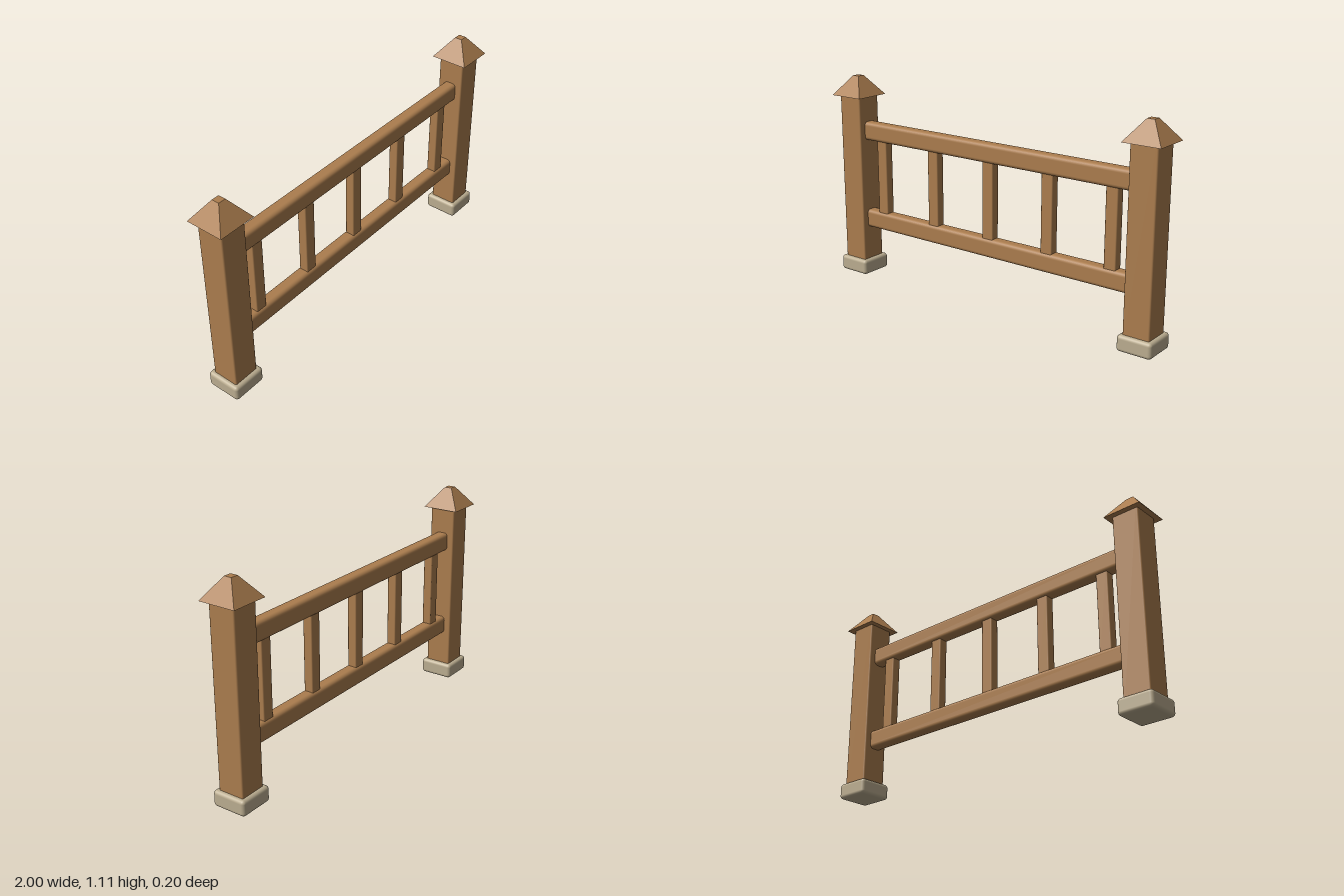
import * as THREE from 'three';
import { RoundedBoxGeometry } from 'three/addons/geometries/RoundedBoxGeometry.js';

export function createModel() {
  const wood = new THREE.MeshStandardMaterial({ color: 0xab7d4e });
  wood.name = 'wood';
  const stone = new THREE.MeshStandardMaterial({ color: 0xbbad90 });
  stone.name = 'stone';

  const fence = new THREE.Group();
  fence.name = 'fence';

  function add(parent, name, geometry, material, x, y) {
    const mesh = new THREE.Mesh(geometry, material);
    mesh.name = name;
    mesh.position.set(x, y, 0);
    parent.add(mesh);
  }

  // Square tapered cap with a small flat top and crisp faces
  const capGeo = new THREE.CylinderGeometry(0.02 * Math.SQRT2, 0.1 * Math.SQRT2, 0.105, 4)
    .rotateY(Math.PI / 4).toNonIndexed();
  capGeo.computeVertexNormals();
  const footGeo = new RoundedBoxGeometry(0.185, 0.083, 0.185, 3, 0.018);
  const shaftGeo = new RoundedBoxGeometry(0.142, 0.98, 0.142, 2, 0.008);

  // End posts: stone foot, wooden shaft, cap
  for (const side of [-1, 1]) {
    const post = new THREE.Group();
    post.name = side > 0 ? 'leftPost' : 'rightPost';
    post.position.x = side * 0.9;
    add(post, 'foot', footGeo, stone, 0, 0.0415);
    add(post, 'shaft', shaftGeo, wood, 0, 0.53);
    add(post, 'cap', capGeo, wood, 0, 1.0525);
    fence.add(post);
  }

  // Horizontal rails with rounded long edges, ends set into the posts
  const railGeo = new RoundedBoxGeometry(1.72, 0.1, 0.07, 3, 0.02);
  add(fence, 'lowerRail', railGeo, wood, 0, 0.317);
  add(fence, 'upperRail', railGeo, wood, 0, 0.812);

  // Five evenly spaced balusters
  const balusterGeo = new RoundedBoxGeometry(0.065, 0.44, 0.05, 2, 0.006);
  for (let i = -2; i <= 2; i++) add(fence, 'baluster', balusterGeo, wood, i * 0.36, 0.565);

  return fence;
}
